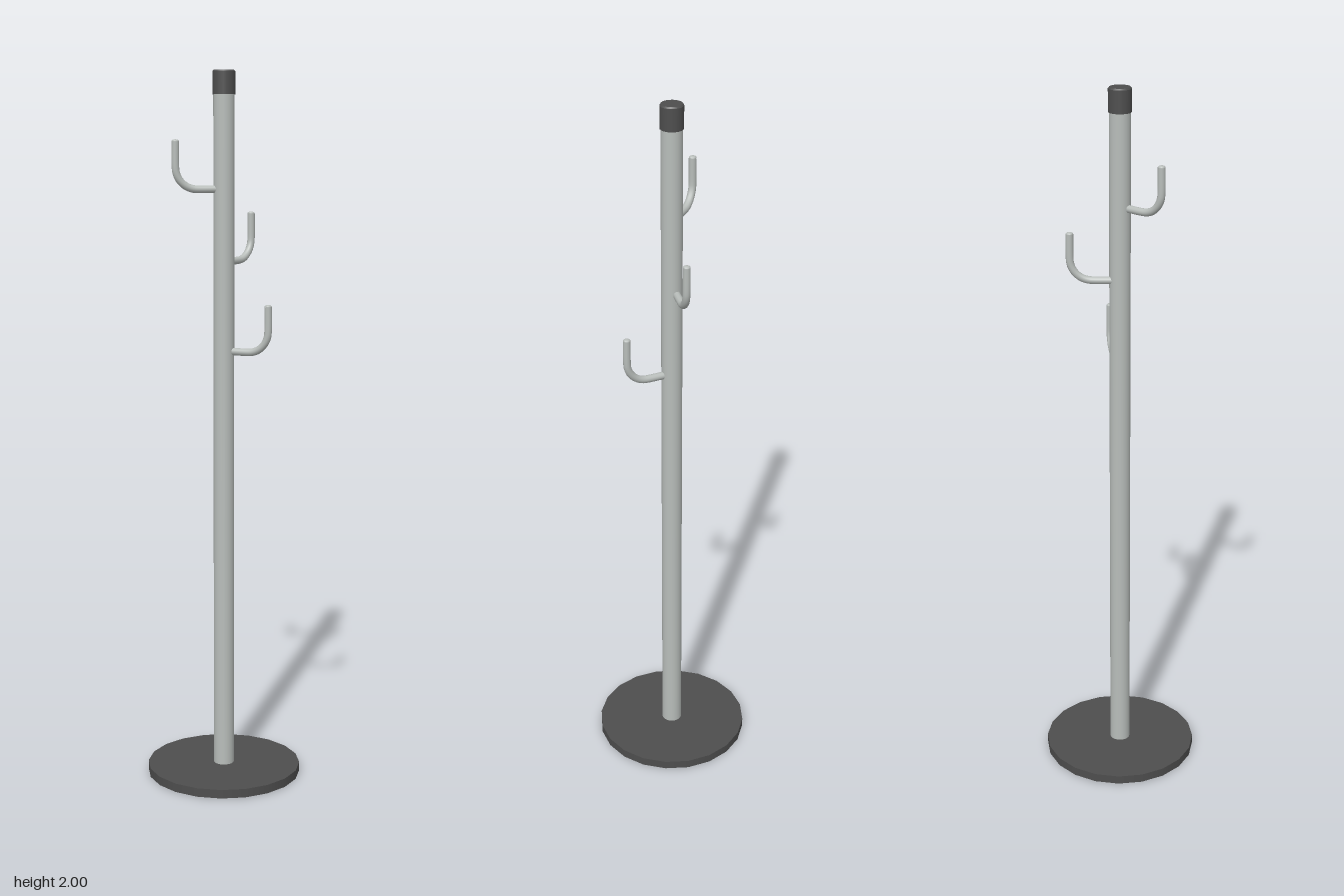
import * as THREE from 'three';

const metal = new THREE.MeshStandardMaterial({ color: 0xb8bdba });
metal.name = 'brushedMetal';
const dark = new THREE.MeshStandardMaterial({ color: 0x4e4e4e });
dark.name = 'darkGrey';

function part(name, geometry, material, y = 0) {
  const mesh = new THREE.Mesh(geometry, material);
  mesh.name = name;
  mesh.position.y = y;
  return mesh;
}

// J-shaped hook: straight out from the pole, a round bend, then up to a domed tip
function hook(name, start, tip, low, high) {
  const R = 0.0105, bend = 0.06, dome = 0.006;
  const out = new THREE.Vector2(tip[0] - start[0], tip[1] - start[1]).normalize();
  const at = (back, y) => new THREE.Vector3(tip[0] - out.x * back, y, tip[1] - out.y * back);
  const points = [new THREE.Vector3(start[0], low, start[1])];
  for (let i = 0; i <= 8; i++) {
    const a = (i / 8) * Math.PI / 2;
    points.push(at(bend * (1 - Math.sin(a)), low + bend * (1 - Math.cos(a))));
  }
  points.push(at(0, high - dome));
  const path = new THREE.CatmullRomCurve3(points);
  const group = new THREE.Group();
  group.name = name;
  group.add(part('hookRod', new THREE.TubeGeometry(path, 36, R, 12), metal));
  const cap = new THREE.SphereGeometry(R, 12, 4, 0, Math.PI * 2, 0, Math.PI / 2);
  cap.scale(1, dome / R, 1);
  const tipMesh = part('hookTip', cap, metal, high - dome);
  tipMesh.position.x = tip[0];
  tipMesh.position.z = tip[1];
  group.add(tipMesh);
  return group;
}

export function createModel() {
  const model = new THREE.Group();
  model.name = 'coatStand';

  // Round foot and upright pole
  model.add(part('base', new THREE.CylinderGeometry(0.22, 0.22, 0.025, 20), dark, 0.0125));
  model.add(part('pole', new THREE.CylinderGeometry(0.029, 0.029, 1.92, 20), metal, 0.98));

  // Top cap with a small chamfer
  model.add(part('capSide', new THREE.CylinderGeometry(0.0315, 0.0315, 0.061, 20), dark, 1.9655));
  model.add(part('capTop', new THREE.CylinderGeometry(0.0285, 0.0315, 0.004, 20), dark, 1.998));

  // Three hooks stepping down around the pole
  model.add(hook('upperHook', [-0.012, -0.006], [-0.109, -0.082], 1.68, 1.815));
  model.add(hook('middleHook', [0.012, -0.008], [0.135, -0.008], 1.48, 1.614));
  model.add(hook('lowerHook', [0.004, 0.012], [0.03, 0.131], 1.232, 1.367));
  return model;
}
